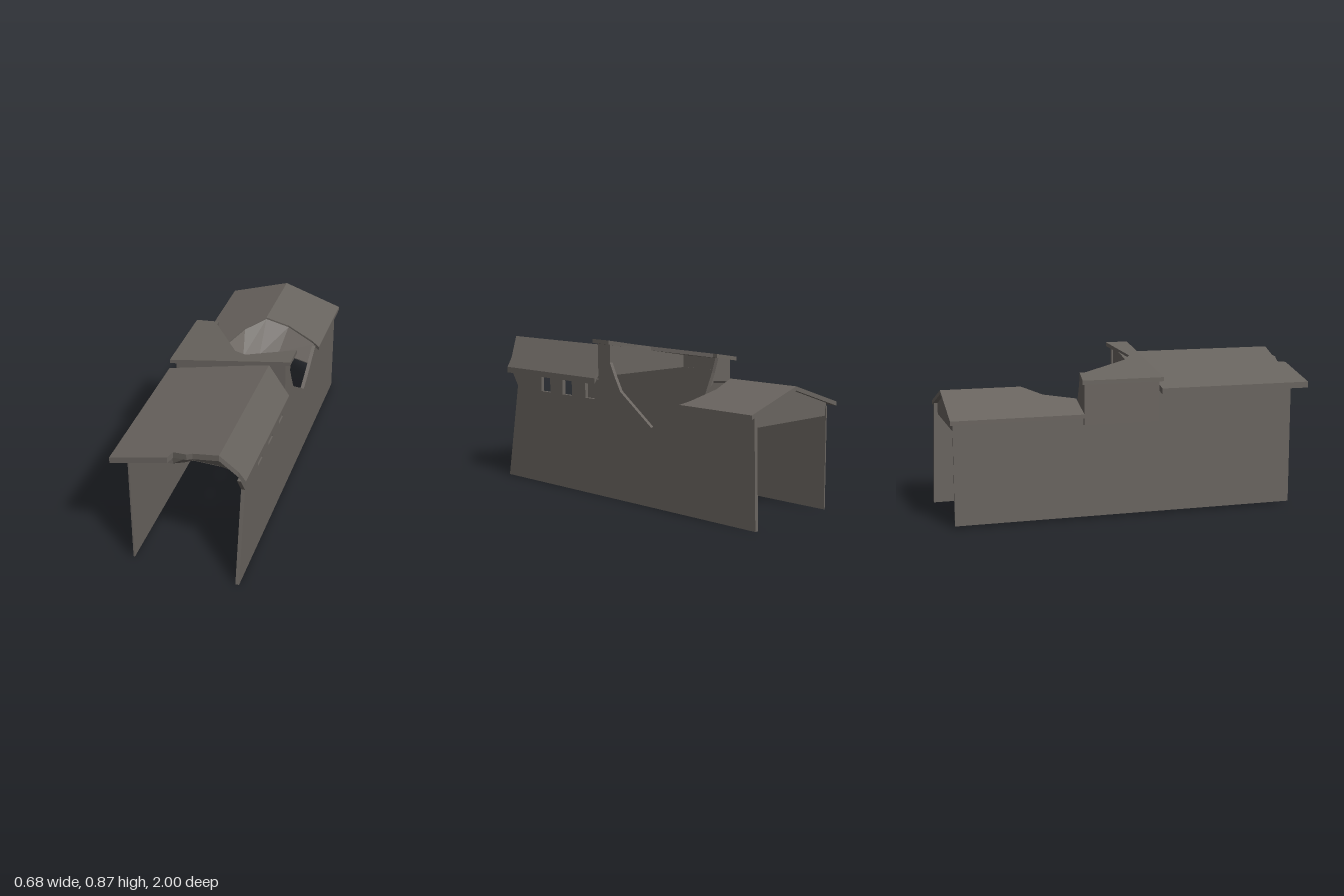
import * as THREE from 'three';

const mat = new THREE.MeshStandardMaterial({ color: 0x69645f, flatShading: true, side: THREE.DoubleSide });
const toShape = pts => new THREE.Shape(pts.map(p => new THREE.Vector2(p[0], p[1])));

export function createModel() {
  const group = new THREE.Group();
  const add = (name, geo) => {
    const mesh = new THREE.Mesh(geo, mat);
    mesh.name = name;
    group.add(mesh);
    return mesh;
  };
  const extrude = (shape, depth) => new THREE.ExtrudeGeometry(shape, { depth, bevelEnabled: false });

  // Long wall: outline in (z, y), outer face at x, thickness towards -x
  const sideWall = (name, shape, x, depth) =>
    add(name, extrude(shape, depth).rotateY(-Math.PI / 2).translate(x, 0, 0));

  // Cross wall: outline in (x, y) between two z positions
  const crossWall = (name, pts, z0, z1) =>
    add(name, extrude(toShape(pts), z1 - z0).translate(0, 0, z0));

  // Slab: outline in (x, z), top surface at height(x)
  const slab = (name, pts, height, depth) => {
    const geo = extrude(toShape(pts), depth);
    const p = geo.attributes.position;
    for (let i = 0; i < p.count; i++) {
      const x = p.getX(i);
      p.setXYZ(i, x, height(x) - p.getZ(i), p.getY(i));
    }
    geo.computeVertexNormals();
    return add(name, geo);
  };

  // Faceted strip joining two broken edges of equal point count
  const strip = (name, a, b) => {
    const index = [];
    for (let i = 0; i < a.length - 1; i++) {
      const j = i + a.length;
      index.push(i, j, i + 1, i + 1, j, j + 1);
    }
    const geo = new THREE.BufferGeometry();
    geo.setAttribute('position', new THREE.Float32BufferAttribute([...a, ...b].flat(), 3));
    geo.setIndex(index);
    geo.computeVertexNormals();
    return add(name, geo);
  };

  // Street wall with broken top and window openings
  const street = toShape([
    [0.955, 0], [0.86, 0.55], [0.925, 0.65], [0.145, 0.65], [0.145, 0.85], [0.05, 0.85],
    [0.05, 0.75], [0.01, 0.67], [-0.03, 0.6], [-0.27, 0.43], [-0.35, 0.47], [-0.47, 0.55],
    [-0.51, 0.575], [-0.985, 0.575], [-1, 0],
  ]);
  const opening = (z, y, w, h) => {
    const [a, b, c, d] = [z - w / 2, z + w / 2, y - h / 2, y + h / 2];
    street.holes.push(new THREE.Path([[a, c], [a, d], [b, d], [b, c]].map(p => new THREE.Vector2(...p))));
  };
  for (const z of [0.6, 0.41, 0.215]) for (const y of [0.585, 0.36, 0.145]) opening(z, y, 0.08, 0.095);
  for (const z of [-0.405, -0.595, -0.79]) for (const y of [0.375, 0.15]) opening(z, y, 0.075, 0.095);
  opening(0.8, 0.33, 0.12, 0.205);
  opening(-0.182, 0.108, 0.105, 0.175);
  sideWall('streetWall', street, 0.31, 0.02);

  // Plain rear wall and its thicker raised middle
  sideWall('plainWall', toShape([
    [0.925, 0.01], [0.925, 0.68], [-0.25, 0.68], [-0.25, 0.56], [-0.97, 0.56], [-0.97, 0.01],
  ]), -0.274, 0.008);
  sideWall('raisedPlainWall', toShape([
    [0.145, 0.515], [0.145, 0.75], [-0.27, 0.75], [-0.27, 0.515],
  ]), -0.275, 0.03);

  // Cross walls under the middle roof
  const midRoof = x => 0.817 + 0.168 * x;
  crossWall('frontPartyWall', [
    [-0.305, 0.68], [0.31, 0.68], [0.31, midRoof(0.31) - 0.015], [-0.305, midRoof(-0.305) - 0.015],
  ], 0.06, 0.145);
  crossWall('brokenPartyWall', [
    [-0.305, 0.515], [-0.05, 0.515], [-0.12, 0.55], [-0.18, 0.68], [-0.21, 0.765], [-0.305, 0.75],
  ], -0.272, -0.25);

  // Middle single-pitch roof with diagonal break
  slab('middleRoof', [
    [-0.338, -0.29], [-0.2, -0.27], [-0.2, -0.24], [0, 0.05], [0.07, 0.088], [0.338, 0.03],
    [0.338, 0.158], [-0.338, 0.158],
  ], midRoof, 0.022);

  // Front roof: shallow left slope, steep right slope
  const frontLeft = x => 0.83 + 0.23 * (x - 0.22);
  const frontRight = x => 0.83 - 1.5 * (x - 0.22);
  slab('frontRoofShallow', [
    [-0.345, 0.15], [0.22, 0.15], [0.22, 0.985], [0.08, 0.968], [0.05, 0.975], [-0.025, 0.955],
    [-0.04, 1], [-0.345, 1],
  ], frontLeft, 0.033);
  slab('frontRoofSteep', [
    [0.22, 0.15], [0.335, 0.15], [0.335, 0.925], [0.3, 0.93], [0.22, 0.985],
  ], frontRight, 0.033);
  slab('frontCeiling', [
    [-0.275, 0.06], [0.29, 0.06], [0.29, 0.88], [0.05, 0.87], [-0.04, 0.925], [-0.275, 0.925],
  ], () => 0.682, 0.004);
  strip('brokenFrontGable',
    [[-0.275, 0.69, 0.925], [-0.04, 0.745, 0.925], [0.05, 0.76, 0.96], [0.07, 0.785, 0.965],
      [0.22, 0.815, 0.975], [0.3, 0.7, 0.925]],
    [[-0.275, 0.68, 0.925], [-0.04, 0.68, 0.925], [0.01, 0.68, 0.9], [0.05, 0.68, 0.87],
      [0.18, 0.68, 0.875], [0.29, 0.68, 0.88]]);

  // Back gabled roof with broken inner edge
  const backRoof = x => 0.69 - 0.33 * Math.abs(x);
  slab('backRoofLeft', [
    [-0.335, -0.99], [0, -0.99], [0, -0.55], [-0.1, -0.45], [-0.16, -0.28], [-0.335, -0.28],
  ], backRoof, 0.022);
  slab('backRoofRight', [
    [0, -0.99], [0.335, -0.99], [0.335, -0.5], [0.28, -0.53], [0.13, -0.57], [0, -0.55],
  ], backRoof, 0.022);
  crossWall('backGable', [
    [-0.28, 0.51], [0.3, 0.51], [0.3, 0.575], [0, 0.675], [-0.28, 0.58],
  ], -0.965, -0.955);

  // Attic floor and faceted rubble between floor and roof
  const floorEdge = [[-0.055, -0.26], [-0.085, -0.35], [0, -0.42], [0.1, -0.48], [0.29, -0.42]];
  const roofEdge = [[-0.16, -0.28], [-0.1, -0.45], [0, -0.55], [0.13, -0.57], [0.3, -0.52]];
  slab('backCeiling', [[-0.28, -0.26], [-0.28, -0.96], [0.29, -0.96], ...floorEdge.slice().reverse()],
    () => 0.512, 0.005);
  strip('atticBreak',
    roofEdge.map(([x, z]) => [x, backRoof(x) - 0.01, z]),
    floorEdge.map(([x, z]) => [x, 0.512, z]));

  return group;
}
